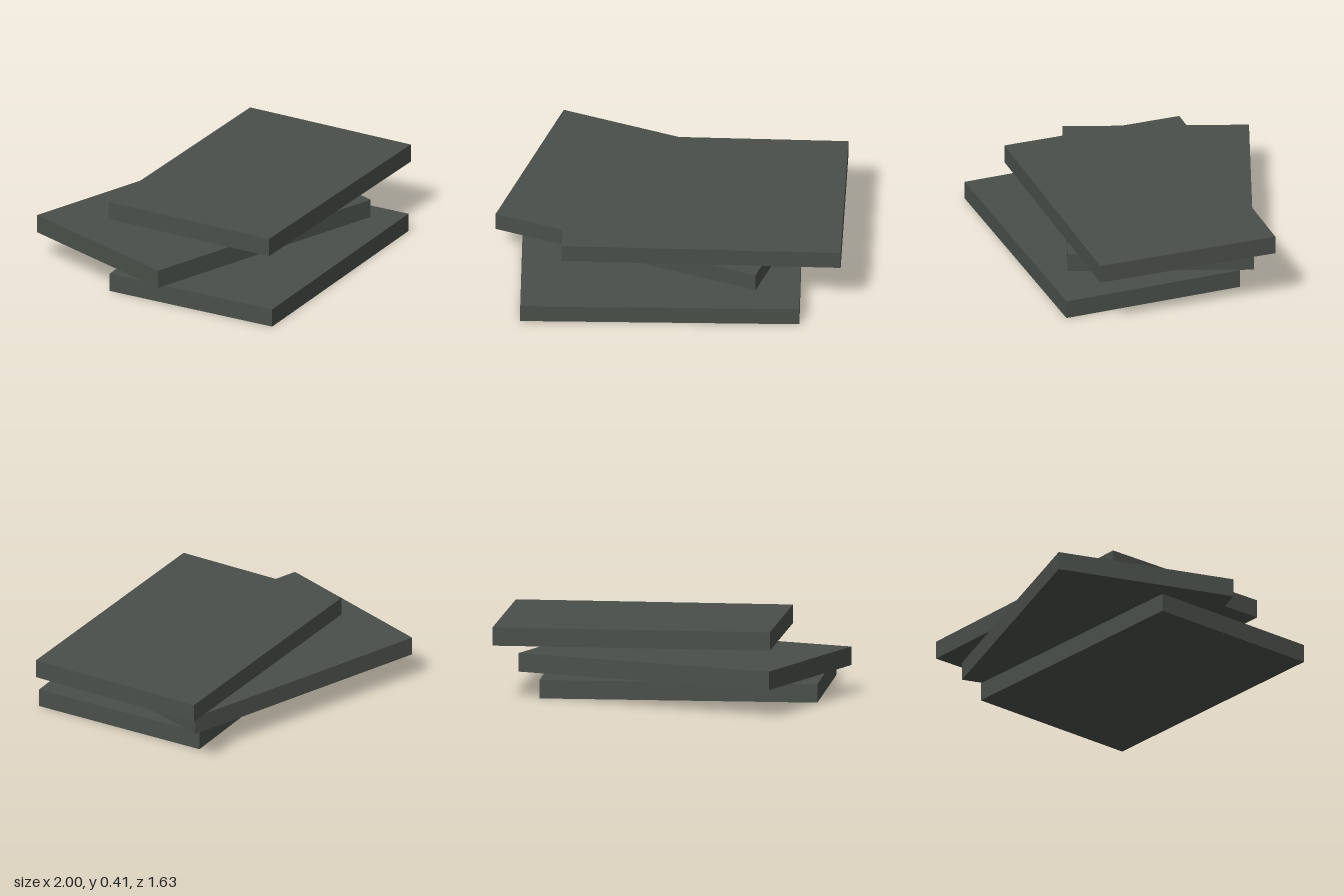
import * as THREE from 'three';

export function createModel() {
  const model = new THREE.Group();
  const slate = new THREE.MeshStandardMaterial({ color: 0x4a4f4a });
  slate.name = 'dark slate';

  // Three identical slabs, stacked with small gaps and twisted about y
  const thickness = 0.104;
  const slab = new THREE.BoxGeometry(1.553, thickness, 1.036);
  const layers = [
    { name: 'bottomSlab', x: -0.067, y: 0, z: 0.155, turn: 0.191 },
    { name: 'middleSlab', x: -0.149, y: 0.155, z: -0.177, turn: -0.164 },
    { name: 'topSlab', x: 0.143, y: 0.31, z: -0.018, turn: 0.169 },
  ];
  for (const { name, x, y, z, turn } of layers) {
    const mesh = new THREE.Mesh(slab, slate);
    mesh.name = name;
    mesh.position.set(x, y + thickness / 2, z);
    mesh.rotation.y = turn;
    model.add(mesh);
  }
  return model;
}
